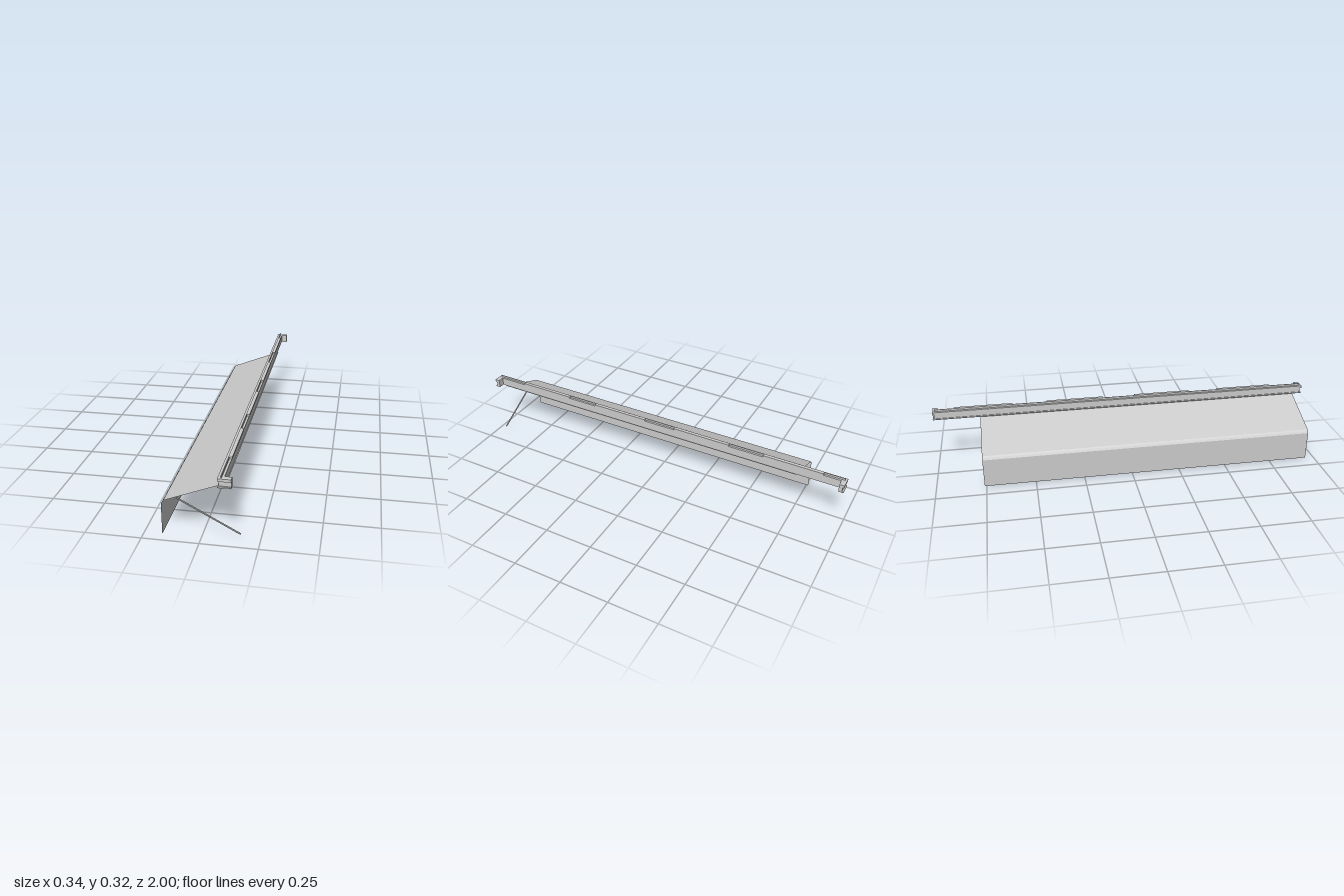
import * as THREE from 'three';

const grey = new THREE.MeshStandardMaterial({ color: 0xcccccc, flatShading: true });
const sheet = new THREE.MeshStandardMaterial({ color: 0xcccccc, flatShading: true, side: THREE.DoubleSide });

export function createModel() {
  const model = new THREE.Group();

  const add = (name, geometry, material = grey) => {
    const mesh = new THREE.Mesh(geometry, material);
    mesh.name = name;
    model.add(mesh);
    return mesh;
  };

  // box given by its x, y and z ranges
  const box = (name, x0, x1, y0, y1, z0, z1) =>
    add(name, new THREE.BoxGeometry(x1 - x0, y1 - y0, z1 - z0))
      .position.set((x0 + x1) / 2, (y0 + y1) / 2, (z0 + z1) / 2);

  // profile in x, y drawn out along z
  const prism = (name, points, z0, z1) => {
    const shape = new THREE.Shape(points.map(([x, y]) => new THREE.Vector2(x, y)));
    add(name, new THREE.ExtrudeGeometry(shape, { depth: z1 - z0, bevelEnabled: false })).position.z = z0;
  };

  // awning: one thin sheet folded over the front edge and hanging down
  const fold = [[0.112, 0.272], [-0.158, 0.166], [-0.164, 0.159], [-0.17, 0.149], [-0.17, 0]];
  const awning = new THREE.PlaneGeometry(1, 1, fold.length - 1, 1);
  const pos = awning.attributes.position;
  for (let i = 0; i < pos.count; i++) {
    const [x, y] = fold[i % fold.length];
    pos.setXYZ(i, x, y, i < fold.length ? -0.76 : 0.955);
  }
  awning.computeVertexNormals();
  add('awningSheet', awning, sheet);

  // mounting rail: flanged back, open slot underneath
  prism('mountingRail', [
    [0.08, 0.271], [0.089, 0.271], [0.089, 0.29], [0.099, 0.29], [0.099, 0.271],
    [0.107, 0.271], [0.107, 0.313], [0.08, 0.313], [0.08, 0.3], [0.084, 0.3],
    [0.084, 0.277], [0.08, 0.277],
  ], -0.985, 0.985);

  // end brackets: flanges reaching past a recessed middle
  for (const s of [-1, 1]) {
    const span = (a, b) => [Math.min(s * a, s * b), Math.max(s * a, s * b)];
    box('endBracketTop', 0.08, 0.138, 0.3, 0.313, ...span(0.975, 1));
    box('endBracketMiddle', 0.084, 0.138, 0.277, 0.3, ...span(0.975, 0.992));
    box('endBracketBottom', 0.08, 0.138, 0.271, 0.277, ...span(0.975, 1));
  }

  // lip along the top of the rail, with spaced clips
  box('railLip', 0.093, 0.097, 0.313, 0.323, -0.99, 0.99);
  for (const z of [-0.74, -0.26, 0.21, 0.67]) {
    box('railClip', 0.093, 0.11, 0.313, 0.323, z - 0.15, z + 0.15);
  }
  box('railPin', 0.09, 0.108, 0.313, 0.316, -0.613, -0.607);

  // crank rod hanging from the front end
  const a = new THREE.Vector3(-0.106, 0.179, 0.946);
  const b = new THREE.Vector3(0.167, 0.031, 0.946);
  const rod = add('crankRod', new THREE.CylinderGeometry(0.0037, 0.0037, a.distanceTo(b), 8));
  rod.position.copy(a).add(b).multiplyScalar(0.5);
  rod.quaternion.setFromUnitVectors(new THREE.Vector3(0, 1, 0), b.clone().sub(a).normalize());

  return model;
}
